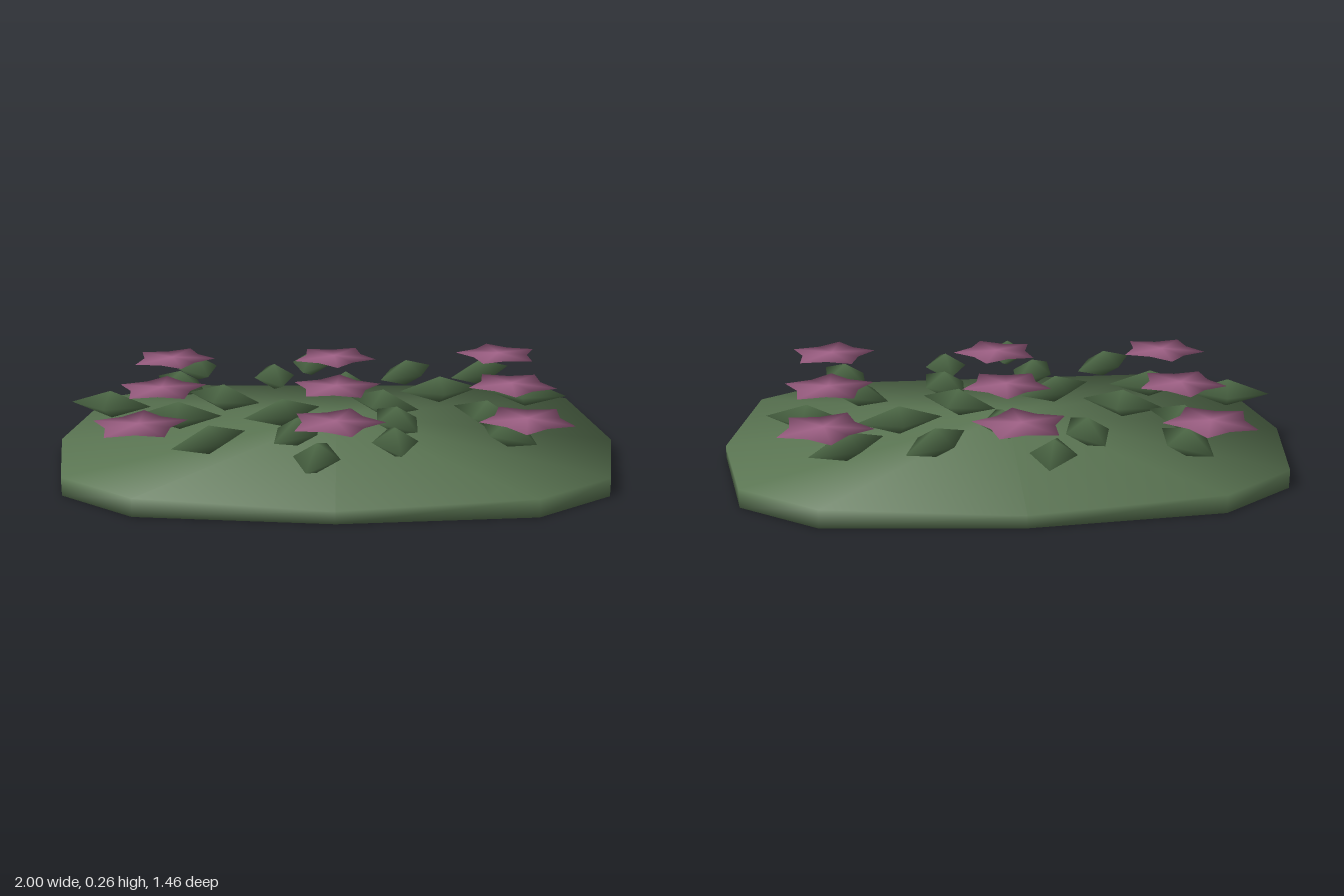
import * as THREE from 'three';

const mat = (name, color) => {
  const m = new THREE.MeshStandardMaterial({ color });
  m.name = name;
  return m;
};

// Smooth normals in which every touching face counts equally, so thin rims look rounded
function softNormals(geo) {
  const p = geo.attributes.position, idx = geo.index.array;
  const sums = Array.from({ length: p.count }, () => new THREE.Vector3());
  const tri = new THREE.Triangle(), n = new THREE.Vector3();
  for (let i = 0; i < idx.length; i += 3) {
    tri.setFromAttributeAndIndices(p, idx[i], idx[i + 1], idx[i + 2]);
    tri.getNormal(n);
    for (let k = 0; k < 3; k++) sums[idx[i + k]].add(n);
  }
  geo.setAttribute('normal', new THREE.Float32BufferAttribute(
    sums.flatMap((v) => v.normalize().toArray()), 3));
  return geo;
}

// Closed solid from stacked rings (bottom to top) with a centre point below and above
function solid(rings, bottom, top) {
  const n = rings[0].length, pos = [...rings.flat(2), ...bottom, ...top], idx = [];
  const b = rings.length * n, t = b + 1, last = (rings.length - 1) * n;
  for (let i = 0; i < n; i++) {
    const j = (i + 1) % n;
    idx.push(b, i, j, t, last + j, last + i);
    for (let r = 0; r < last; r += n) {
      idx.push(r + i, r + n + i, r + j, r + j, r + n + i, r + n + j);
    }
  }
  const geo = new THREE.BufferGeometry();
  geo.setAttribute('position', new THREE.Float32BufferAttribute(pos, 3));
  geo.setIndex(idx);
  return softNormals(geo);
}

// Low mound with a twelve-cornered outline
function moundGeometry() {
  const zc = -0.02;
  const quarter = [[1, 0, 0.045], [0.91, 0.46, 0.064], [0.65, 0.65, 0.062], [0, 0.71, 0.043]];
  const flip = (sx, sz) => ([x, z, y]) => [sx * x, z * sz, y];
  const outline = [
    ...quarter,
    ...quarter.slice(0, 3).reverse().map(flip(-1, 1)),
    ...quarter.slice(1).map(flip(-1, -1)),
    ...quarter.slice(1, 3).reverse().map(flip(1, -1)),
  ];
  return solid([outline.map(([x, z]) => [x, 0, z + zc]), outline.map(([x, z, y]) => [x, y, z + zc])],
    [0, 0, zc], [0, 0.14, zc]);
}

// Thin five-pointed blossom
function flowerGeometry() {
  const ring = [];
  for (let i = 0; i < 10; i++) {
    const a = (i * Math.PI) / 5, r = i % 2 ? 0.112 : 0.165;
    ring.push([r * Math.cos(a), 0, r * Math.sin(a)]);
  }
  return solid([ring], [0, -0.013, 0], [0, 0.006, 0]);
}

// Diamond-shaped leaf lying along x
function leafGeometry() {
  return solid([[[0.15, 0, 0], [0, 0, 0.078], [-0.15, 0, 0], [0, 0, -0.078]]],
    [0, -0.05, 0], [0, 0.05, 0]);
}

// x, z, and heading (dx, dz) of each leaf
const LEAVES = [
  [-0.55, -0.5, 0.11, 0.28], [-0.59, -0.27, 0.18, 0.2], [-0.24, -0.37, 0.07, 0.28],
  [-0.1, -0.57, 0.06, -0.28], [0.27, -0.43, 0.2, -0.22], [0.56, -0.44, 0.2, -0.15],
  [0.385, -0.195, 0.28, -0.05], [0.035, -0.265, 0.02, 0.28], [0.7, -0.15, 0.27, 0.08],
  [-0.41, -0.085, 0.27, 0.14], [-0.81, 0, 0.28, 0.06], [-0.55, 0.135, 0.29, 0.01],
  [-0.19, 0.1, 0.25, -0.14], [0.17, -0.02, 0.23, 0.16], [0.21, 0.19, 0.13, 0.27],
  [0.53, 0.115, 0.2, 0.19], [-0.42, 0.405, 0.22, -0.19], [-0.13, 0.315, 0.14, -0.25],
  [0.195, 0.425, 0.03, 0.28], [-0.06, 0.585, 0.06, -0.28], [0.58, 0.325, 0.14, 0.23],
];

// x, z, and turn in degrees of each flower
const FLOWERS = [
  [-0.64, -0.45, 0], [-0.01, -0.44, 13], [0.63, -0.45, -28],
  [-0.63, -0.03, -18], [0, -0.02, -14], [0.63, -0.02, 20],
  [-0.65, 0.4, -20], [0, 0.4, 0], [0.63, 0.4, 26],
];

export function createModel() {
  const model = new THREE.Group();
  model.name = 'flowerPatch';
  const moundGreen = mat('moss green', 0x5c7754);
  const leafGreen = mat('leaf green', 0x4f6b48);
  const petalPink = mat('mauve pink', 0xa4648a);

  const add = (parent, name, geo, material) => {
    const mesh = new THREE.Mesh(geo, material);
    mesh.name = name;
    parent.add(mesh);
    return mesh;
  };
  const group = (name) => {
    const g = new THREE.Group();
    g.name = name;
    model.add(g);
    return g;
  };

  add(model, 'mound', moundGeometry(), moundGreen);

  // Leaves hover just over the mound
  const leaves = group('leaves'), leafGeo = leafGeometry();
  for (const [x, z, dx, dz] of LEAVES) {
    const leaf = add(leaves, 'leaf', leafGeo, leafGreen);
    leaf.position.set(x, 0.184, z);
    leaf.rotation.y = -Math.atan2(dz, dx);
  }

  // Flowers in three rows, each column slightly higher than the last
  const flowers = group('flowers'), flowerGeo = flowerGeometry();
  for (const [x, z, turn] of FLOWERS) {
    const flower = add(flowers, 'flower', flowerGeo, petalPink);
    flower.position.set(x, 0.244 + 0.015 * x, z);
    flower.rotation.y = -THREE.MathUtils.degToRad(turn);
  }
  return model;
}
